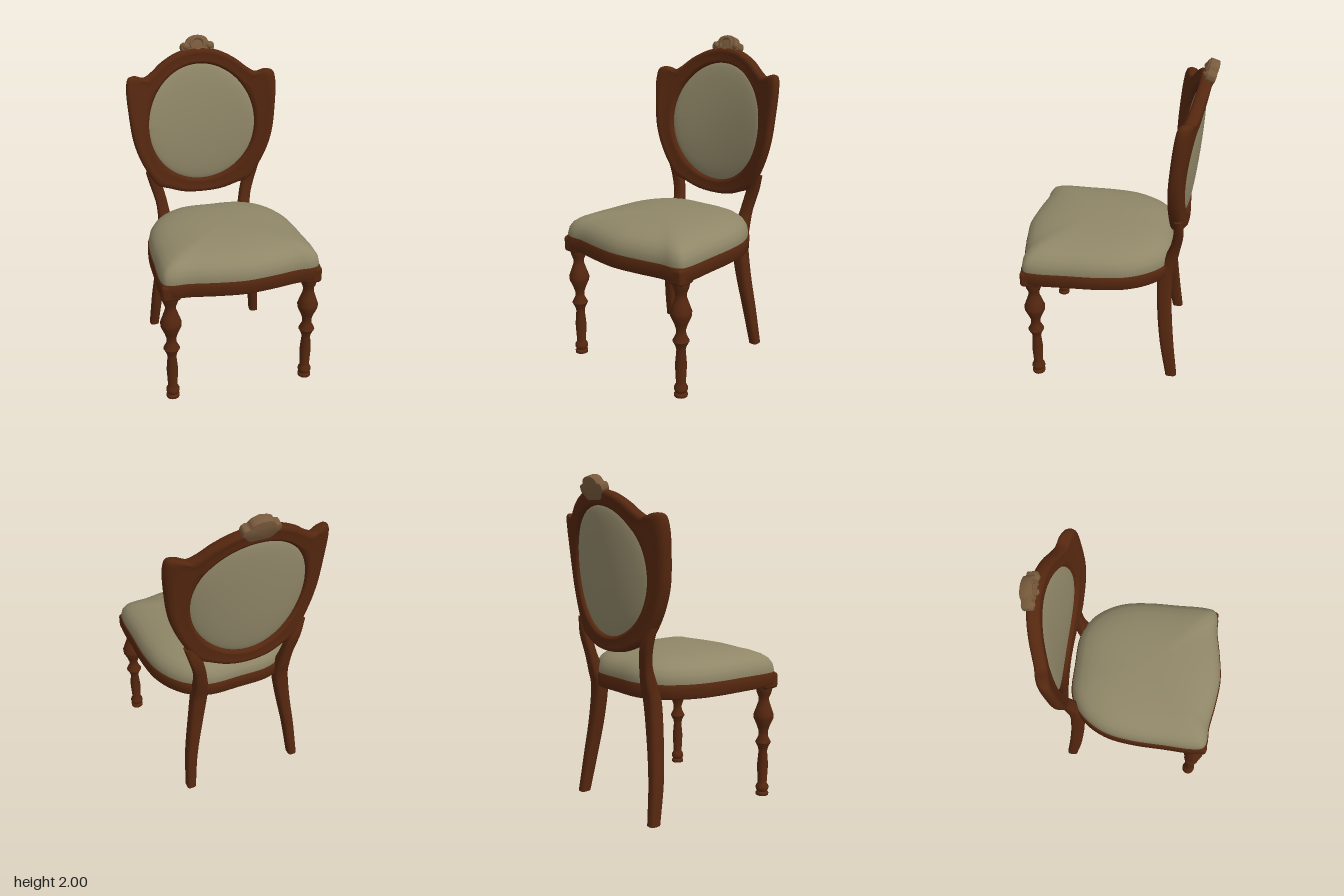
import * as THREE from 'three';
import { toCreasedNormals } from 'three/addons/utils/BufferGeometryUtils.js';
import { RoundedBoxGeometry } from 'three/addons/geometries/RoundedBoxGeometry.js';

const V = (x, y, z = 0) => new THREE.Vector3(x, y, z);

// Skin a list of closed rings; either wrap round to the first ring or cap both ends.
function loft(rings, wrap = false, crease = 0.8) {
  const n = rings[0].length, m = rings.length, pos = [], idx = [];
  rings.forEach(r => r.forEach(p => pos.push(p.x, p.y, p.z)));
  for (let i = 0; i < (wrap ? m : m - 1); i++) {
    for (let j = 0; j < n; j++) {
      const i2 = (i + 1) % m, j2 = (j + 1) % n;
      const a = i * n + j, b = i * n + j2, c = i2 * n + j2, d = i2 * n + j;
      idx.push(a, d, b, b, d, c);
    }
  }
  if (!wrap) {
    [0, m - 1].forEach(i => {
      const c = rings[i].reduce((s, p) => s.add(p), V(0, 0)).divideScalar(n);
      const k = pos.push(c.x, c.y, c.z) / 3 - 1;
      for (let j = 0; j < n; j++) {
        const p = i * n + j, q = i * n + (j + 1) % n;
        idx.push(k, i ? q : p, i ? p : q);
      }
    });
  }
  const g = new THREE.BufferGeometry();
  g.setAttribute('position', new THREE.Float32BufferAttribute(pos, 3));
  g.setIndex(idx);
  return toCreasedNormals(g, crease);
}

// Smooth closed loop from one half of a symmetric outline.
function mirroredLoop(half, count) {
  const other = half.slice(1, -1).reverse().map(([x, y]) => [-x, y]);
  const pts = [...half, ...other].map(([x, y]) => V(x, y));
  return new THREE.CatmullRomCurve3(pts, true).getPoints(count).slice(0, -1);
}

// Backrest surface: leans back and curves round the sitter.
function backZ(x, y) {
  const u = (y - 1) / 0.9;
  return -0.425 - 0.05 * u - 0.035 * u * u + 0.4 * x * x;
}

export function createModel() {
  const chair = new THREE.Group();
  chair.name = 'chair';
  const mat = (name, color) => {
    const m = new THREE.MeshStandardMaterial({ color });
    m.name = name;
    return m;
  };
  const wood = mat('dark wood', 0x55270f);
  const fabric = mat('olive fabric', 0x908768);
  const carving = mat('pale carved wood', 0x785a3c);
  const add = (name, geo, material, parent = chair) => {
    const mesh = new THREE.Mesh(geo, material);
    mesh.name = name;
    parent.add(mesh);
    return mesh;
  };

  // Seat rail and cushion share one plan outline
  const plan = mirroredLoop([[0, -0.385], [0.2, -0.378], [0.32, -0.32], [0.4, -0.23], [0.455, -0.11],
    [0.48, 0.05], [0.486, 0.25], [0.49, 0.44], [0.475, 0.505], [0.43, 0.525], [0.34, 0.527],
    [0.18, 0.555], [0, 0.575]], 120);
  const slice = (s, y) => plan.map(p => V(p.x * s + 0.005, y, 0.1 + (p.y - 0.1) * s));
  add('seatRail', loft([[0.985, 0.72], [1, 0.73], [1, 0.795], [0.99, 0.806]].map(a => slice(...a))), wood);
  add('seatCushion', loft([[0.975, 0.79], [0.985, 0.82], [0.968, 0.86], [0.925, 0.893], [0.86, 0.916],
    [0.75, 0.938], [0.6, 0.954], [0.4, 0.965], [0.2, 0.97], [0.02, 0.971]].map(a => slice(...a)), false, 1.2), fabric);

  // Turned front legs with corner blocks
  const turned = [[0, 0], [0.04, 0], [0.041, 0.015], [0.033, 0.025], [0.042, 0.045], [0.04, 0.06],
    [0.029, 0.08], [0.035, 0.2], [0.027, 0.29], [0.032, 0.315], [0.05, 0.35], [0.03, 0.39], [0.029, 0.42],
    [0.04, 0.455], [0.062, 0.505], [0.064, 0.53], [0.048, 0.575], [0.034, 0.615], [0.033, 0.64],
    [0.045, 0.67], [0.052, 0.7], [0.052, 0.73]].map(([r, y]) => new THREE.Vector2(r, y));
  for (const s of [1, -1]) {
    const side = s > 0 ? 'left' : 'right';
    const leg = add(side + 'FrontLeg', toCreasedNormals(new THREE.LatheGeometry(turned, 16), 0.6), wood);
    leg.position.set(0.005 + s * 0.428, 0, 0.455);
    const block = add(side + 'CornerBlock', new RoundedBoxGeometry(0.112, 0.1, 0.12, 3, 0.02), wood);
    block.position.set(0.005 + s * 0.43, 0.752, 0.465);
  }

  // Everything belonging to the back sits slightly off centre
  const back = new THREE.Group();
  back.name = 'back';
  back.position.x = -0.018;
  chair.add(back);

  // Curved back legs: x, y, z, width, depth along the height
  const stations = [[0.37, 0, -0.4, 0.06, 0.07], [0.345, 0.25, -0.362, 0.07, 0.085],
    [0.305, 0.5, -0.338, 0.085, 0.09], [0.275, 0.72, -0.335, 0.098, 0.092],
    [0.274, 0.8, -0.355, 0.09, 0.088], [0.288, 0.93, -0.39, 0.076, 0.062],
    [0.315, 1.04, -0.405, 0.08, 0.06], [0.35, 1.15, -0.397, 0.07, 0.05]];
  const path = new THREE.CatmullRomCurve3(stations.map(s => V(s[0], s[1], s[2])));
  const size = new THREE.CatmullRomCurve3(stations.map(s => V(s[3], s[4])));
  const rounded = v => Math.sign(v) * Math.pow(Math.abs(v), 0.6);
  for (const s of [1, -1]) {
    const rings = [];
    for (let i = 0; i <= 35; i++) {
      const c = path.getPoint(i / 35), w = size.getPoint(i / 35), ring = [];
      for (let j = 0; j < 20; j++) {
        const a = j / 20 * Math.PI * 2;
        ring.push(V(s * c.x + rounded(Math.cos(a)) * w.x / 2, c.y, c.z + rounded(Math.sin(a)) * w.y / 2));
      }
      rings.push(ring);
    }
    add(s > 0 ? 'leftBackLeg' : 'rightBackLeg', loft(rings), wood, back);
  }

  // Shield-shaped frame with an oval opening
  const shield = mirroredLoop([[0, 0.978], [0.13, 0.99], [0.23, 1.025], [0.31, 1.06], [0.36, 1.13],
    [0.42, 1.25], [0.46, 1.38], [0.48, 1.55], [0.486, 1.72], [0.47, 1.778], [0.43, 1.787], [0.37, 1.768],
    [0.32, 1.792], [0.24, 1.852], [0.13, 1.905], [0, 1.925]], 150);
  const oval = { x: 0.352, y: 0.38, cy: 1.45 };
  const face = [[0, 0.016], [0.08, 0.03], [0.22, 0.034], [0.45, 0.027], [0.68, 0.037], [0.88, 0.035], [0.97, 0.024], [1, 0.008]];
  const section = [...face.map(([t, h]) => [t, -h]), ...face.slice().reverse()];
  add('backFrame', loft(shield.map(p => {
    const dx = p.x, dy = p.y - oval.cy, k = 1 / Math.hypot(dx / oval.x, dy / oval.y);
    return section.map(([t, h]) => {
      const f = k + (1 - k) * t, x = dx * f, y = oval.cy + dy * f;
      return V(x, y, backZ(x, y) + h);
    });
  }), true, 1), wood, back);

  // Oval back cushion, domed on both faces
  const pad = new THREE.SphereGeometry(1, 48, 32);
  pad.rotateX(Math.PI / 2);
  const pp = pad.attributes.position;
  for (let i = 0; i < pp.count; i++) {
    const x = pp.getX(i) * 0.358, y = oval.cy + pp.getY(i) * 0.386;
    pp.setXYZ(i, x, y, backZ(x, y) + pp.getZ(i) * 0.04);
  }
  pad.computeVertexNormals();
  add('backCushion', pad, fabric, back);

  // Carved shell crest, tilted with the back
  const crest = new THREE.Group();
  crest.name = 'crest';
  crest.position.set(0, 1.93, -0.526);
  crest.rotation.x = -0.33;
  back.add(crest);
  const shellLoop = mirroredLoop([[0, -0.063], [0.06, -0.058], [0.085, -0.03], [0.102, -0.012], [0.098, 0.018],
    [0.07, 0.026], [0.055, 0.05], [0.03, 0.062], [0, 0.066]], 64);
  const shell = new THREE.ExtrudeGeometry(new THREE.Shape(shellLoop.map(p => new THREE.Vector2(p.x, p.y))),
    { depth: 0.04, bevelSize: 0.006, bevelThickness: 0.008, bevelSegments: 2 });
  shell.translate(0, 0, -0.026);
  add('crestShell', toCreasedNormals(shell, 0.7), carving, crest);
  const curl = add('crestCurl', new THREE.TorusGeometry(0.042, 0.012, 8, 32, Math.PI * 1.3), carving, crest);
  curl.rotation.z = -Math.PI * 0.15;
  curl.position.set(0, 0.012, 0.02);
  for (const x of [-0.078, 0.078]) {
    const lobe = add('crestLobe', new THREE.SphereGeometry(0.024, 16, 12), carving, crest);
    lobe.position.set(x, 0.002, 0.012);
  }
  const boss = add('crestBoss', new THREE.SphereGeometry(0.03, 16, 12), carving, crest);
  boss.scale.set(1.5, 0.7, 0.6);
  boss.position.set(0, -0.034, 0.02);

  return chair;
}
